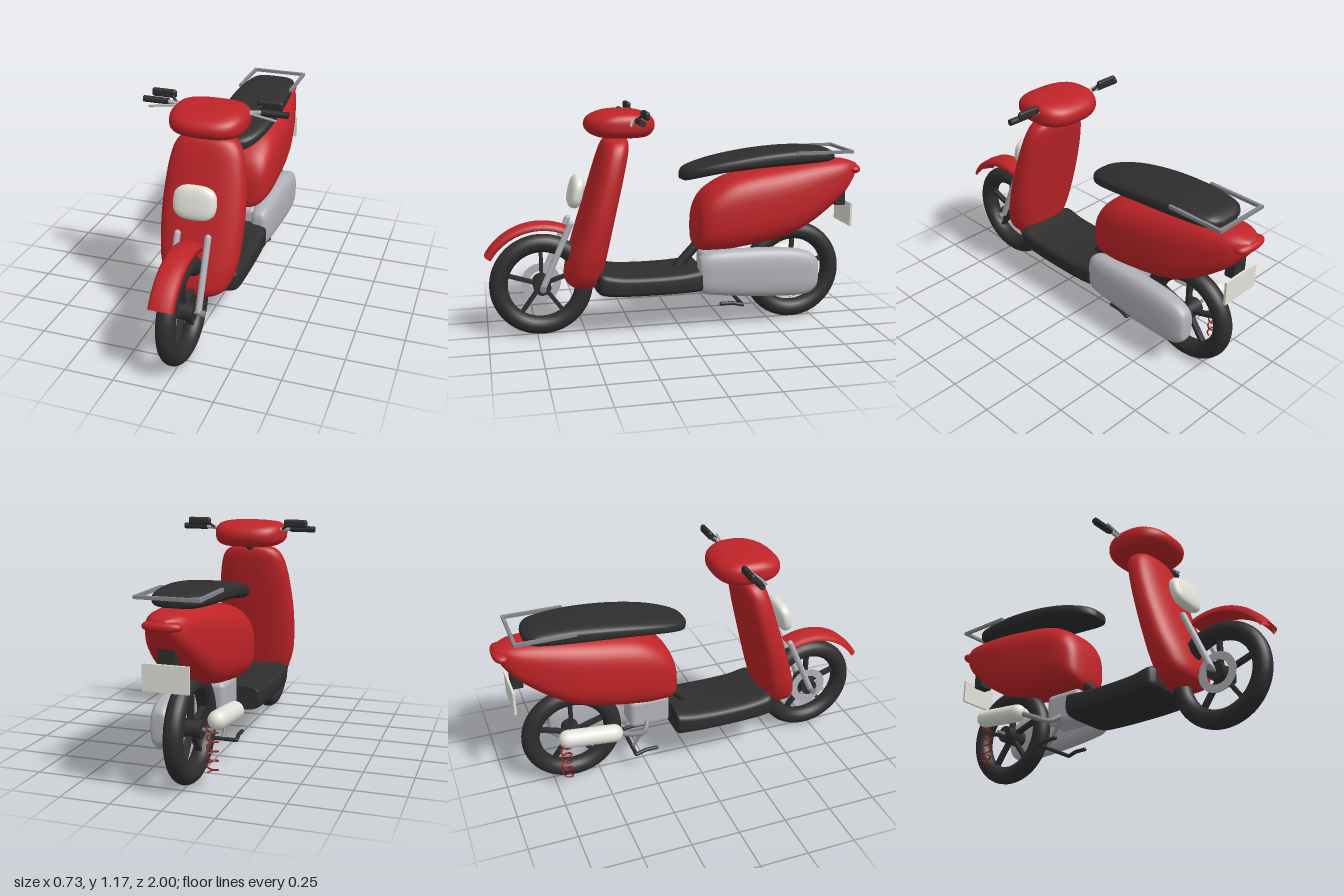
import * as THREE from 'three';
import { mergeVertices } from 'three/addons/utils/BufferGeometryUtils.js';
import { RoundedBoxGeometry } from 'three/addons/geometries/RoundedBoxGeometry.js';

const V = (x, y, z) => new THREE.Vector3(x, y, z);

function makeMaterial(name, color) {
  const m = new THREE.MeshStandardMaterial({ color });
  m.name = name;
  return m;
}

// Smooth closed body from superellipse sections [t, low, high, halfWidth].
// axis 'z': low/high are heights; axis 'y': low/high are depths. t must increase.
function loft(axis, rows, n = 2.8, sides = 40, cx = 0) {
  const line = new THREE.CatmullRomCurve3(rows.map(r => V(r[0], r[1], r[2])), false, 'catmullrom', 0.5);
  const width = new THREE.CatmullRomCurve3(rows.map(r => V(r[3], 0, 0)), false, 'catmullrom', 0.5);
  const steps = (rows.length - 1) * 5, pos = [], idx = [];
  const put = (x, v, t) => (axis === 'z' ? pos.push(x, v, t) : pos.push(x, t, v));
  const sp = v => Math.sign(v) * Math.abs(v) ** (2 / n);
  for (let i = 0; i <= steps; i++) {
    const p = line.getPoint(i / steps), w = width.getPoint(i / steps).x;
    const c = (p.y + p.z) / 2, b = (p.z - p.y) / 2 * (axis === 'z' ? 1 : -1);
    for (let j = 0; j < sides; j++) {
      const a = j / sides * Math.PI * 2;
      put(cx + w * sp(Math.cos(a)), c + b * sp(Math.sin(a)), p.x);
    }
  }
  for (let i = 0; i < steps; i++) for (let j = 0; j < sides; j++) {
    const k = (j + 1) % sides, a = i * sides, b = a + sides;
    idx.push(a + j, a + k, b + k, a + j, b + k, b + j);
  }
  // end caps
  const first = rows[0], last = rows[rows.length - 1], m = pos.length / 3;
  for (const r of [first, last]) put(cx, (r[1] + r[2]) / 2, r[0]);
  for (let j = 0; j < sides; j++) {
    const k = (j + 1) % sides, top = steps * sides;
    idx.push(m, k, j, m + 1, top + j, top + k);
  }
  const g = new THREE.BufferGeometry();
  g.setAttribute('position', new THREE.Float32BufferAttribute(pos, 3));
  g.setIndex(idx);
  g.computeVertexNormals();
  return g;
}

// Rounded pillow with half sizes rx, ry, rz; larger n is boxier
function blob(rx, ry, rz, n) {
  let g = new THREE.SphereGeometry(1, 40, 28);
  g.deleteAttribute('uv');
  g.deleteAttribute('normal');
  g = mergeVertices(g, 1e-4);
  const p = g.attributes.position;
  for (let i = 0; i < p.count; i++) {
    const x = p.getX(i), y = p.getY(i), z = p.getZ(i);
    const k = (Math.abs(x) ** n + Math.abs(y) ** n + Math.abs(z) ** n) ** (-1 / n);
    p.setXYZ(i, x * k * rx, y * k * ry, z * k * rz);
  }
  g.computeVertexNormals();
  return g;
}

// Round-ended rod between two points
function rod(a, b, r) {
  const d = b.clone().sub(a);
  const g = new THREE.CapsuleGeometry(r, d.length(), 6, 16);
  g.applyQuaternion(new THREE.Quaternion().setFromUnitVectors(V(0, 1, 0), d.clone().normalize()));
  const c = a.clone().add(b).multiplyScalar(0.5);
  return g.translate(c.x, c.y, c.z);
}

export function createModel() {
  const root = new THREE.Group();
  root.name = 'scooter';
  const red = makeMaterial('red paint', 0xc02428);
  const fenderRed = red.clone();
  fenderRed.side = THREE.DoubleSide;
  const dark = makeMaterial('black rubber', 0x2e2e2e);
  const white = makeMaterial('off white', 0xe2e2da);
  const silver = makeMaterial('silver cover', 0xb0b2b8);
  const steel = makeMaterial('grey steel', 0x85868a);
  const springRed = makeMaterial('dark red', 0x8e2020);

  const add = (name, geo, mat, x = 0, y = 0, z = 0, parent = root) => {
    const m = new THREE.Mesh(geo, mat);
    m.name = name;
    m.position.set(x, y, z);
    parent.add(m);
    return m;
  };

  // Wheels
  function wheel(name, z) {
    const g = new THREE.Group();
    g.name = name;
    g.position.set(0, 0.273, z);
    root.add(g);
    add('tyre', new THREE.TorusGeometry(0.219, 0.047, 20, 64).rotateY(Math.PI / 2), dark, 0, 0, 0, g);
    add('hub', new THREE.CylinderGeometry(0.045, 0.045, 0.12, 28).rotateZ(Math.PI / 2), dark, 0, 0, 0, g);
    add('axle', new THREE.CylinderGeometry(0.009, 0.009, 0.22, 14).rotateZ(Math.PI / 2), steel, 0, 0, 0, g);
    for (let i = 0; i < 5; i++) {
      const s = new THREE.BoxGeometry(0.03, 0.15, 0.018).translate(0, 0.11, 0);
      add('spoke', s.rotateX(i * Math.PI * 2 / 5), dark, 0, 0, 0, g);
    }
    return g;
  }
  const front = wheel('frontWheel', 0.72);
  wheel('rearWheel', -0.635);
  const disc = new THREE.Shape().absarc(0, 0, 0.102, 0, Math.PI * 2);
  disc.holes.push(new THREE.Path().absarc(0, 0, 0.062, 0, Math.PI * 2, true));
  const discGeo = new THREE.ExtrudeGeometry(disc, { depth: 0.006, bevelEnabled: false, curveSegments: 32 });
  add('brakeDisc', discGeo.rotateY(Math.PI / 2), silver, -0.04, 0, 0, front);

  // Front fender: domed section swept around the wheel
  const section = [[0.296, -0.062], [0.316, -0.06], [0.328, -0.045], [0.332, 0], [0.328, 0.045],
    [0.316, 0.06], [0.296, 0.062], [0.306, 0.05], [0.32, 0], [0.306, -0.05], [0.296, -0.062]];
  const arc = THREE.MathUtils.degToRad(84), start = THREE.MathUtils.degToRad(-115);
  add('frontFender', new THREE.LatheGeometry(section.map(p => new THREE.Vector2(...p)), 36, start, arc)
    .rotateZ(-Math.PI / 2), fenderRed, 0, 0.273, 0.72);

  // Leg shield, headlight and handlebar cover
  add('legShield', loft('y', [
    [0.25, 0.46, 0.53, 0.04], [0.265, 0.435, 0.575, 0.1], [0.31, 0.415, 0.602, 0.155],
    [0.4, 0.392, 0.588, 0.188], [0.5, 0.37, 0.558, 0.203], [0.65, 0.337, 0.51, 0.209],
    [0.8, 0.302, 0.463, 0.2], [0.9, 0.28, 0.432, 0.186], [0.97, 0.267, 0.408, 0.165],
    [1.01, 0.268, 0.388, 0.13], [1.027, 0.28, 0.36, 0.08]], 2.6), red);
  add('headlight', blob(0.107, 0.084, 0.036, 2.9), white, 0, 0.755, 0.535).rotation.x = -0.24;
  add('handlebarCover', loft('y', [
    [1.03, 0.2, 0.38, 0.1], [1.037, 0.165, 0.43, 0.15], [1.06, 0.14, 0.472, 0.18],
    [1.095, 0.13, 0.485, 0.187], [1.13, 0.145, 0.465, 0.182], [1.155, 0.19, 0.41, 0.155],
    [1.166, 0.25, 0.35, 0.09]], 2.7), red);
  add('steeringColumn', rod(V(0, 0.98, 0.31), V(0, 1.06, 0.3), 0.04), dark);

  // Forks, grips, levers and mirrors
  for (const s of [-1, 1]) {
    add('fork', rod(V(s * 0.077, 0.28, 0.715), V(s * 0.077, 0.6, 0.572), 0.016), silver);
    add('axleNut', new THREE.CylinderGeometry(0.016, 0.016, 0.02, 12).rotateZ(Math.PI / 2), steel, s * 0.1, 0.273, 0.72);
    add('handlebar', rod(V(s * 0.15, 1.12, 0.255), V(s * 0.24, 1.13, 0.25), 0.01), silver);
    add('grip', new THREE.CylinderGeometry(0.016, 0.016, 0.13, 18).rotateZ(Math.PI / 2), dark, s * 0.3, 1.13, 0.25);
    add('brakeLever', rod(V(s * 0.18, 1.125, 0.27), V(s * 0.315, 1.115, 0.298), 0.006), silver);
    add('mirrorStem', rod(V(s * 0.19, 1.125, 0.25), V(s * 0.22, 1.15, 0.23), 0.007), dark);
    add('mirror', new RoundedBoxGeometry(0.126, 0.042, 0.026, 3, 0.012), dark, s * 0.268, 1.16, 0.22);
  }

  // Floorboard and strut
  add('floorboard', loft('z', [
    [-0.1, 0.225, 0.34, 0.15], [-0.09, 0.215, 0.346, 0.17], [0.02, 0.212, 0.334, 0.178],
    [0.17, 0.212, 0.33, 0.18], [0.32, 0.215, 0.336, 0.18], [0.42, 0.225, 0.355, 0.178],
    [0.45, 0.245, 0.345, 0.14]], 4.5), dark);
  add('strut', rod(V(0, 0.33, 0.0), V(0, 0.46, -0.12), 0.026), dark);

  // Rear bodywork
  add('rearBody', loft('z', [
    [-0.985, 0.815, 0.85, 0.03], [-0.95, 0.755, 0.865, 0.072], [-0.88, 0.67, 0.877, 0.112],
    [-0.72, 0.545, 0.872, 0.148], [-0.55, 0.468, 0.853, 0.168], [-0.3, 0.425, 0.812, 0.173],
    [-0.18, 0.42, 0.757, 0.165], [-0.12, 0.42, 0.7, 0.145], [-0.09, 0.435, 0.63, 0.11],
    [-0.078, 0.47, 0.55, 0.05]], 3), red);
  add('tailLight', blob(0.092, 0.026, 0.042, 2.4), red, 0, 0.822, -0.957);
  add('seat', loft('z', [
    [-0.845, 0.885, 0.912, 0.05], [-0.825, 0.876, 0.93, 0.095], [-0.77, 0.868, 0.946, 0.125],
    [-0.6, 0.858, 0.953, 0.146], [-0.4, 0.848, 0.937, 0.154], [-0.22, 0.83, 0.908, 0.145],
    [-0.1, 0.808, 0.88, 0.117], [-0.035, 0.793, 0.859, 0.075], [-0.01, 0.8, 0.835, 0.03]], 3.2), dark);

  // Luggage rack, plate holder and plate
  for (const s of [-1, 1]) add('rackSide', new THREE.BoxGeometry(0.016, 0.016, 0.3), steel, s * 0.147, 0.931, -0.755);
  add('rackRear', new THREE.BoxGeometry(0.31, 0.016, 0.016), steel, 0, 0.931, -0.902);
  add('plateHolder', new THREE.BoxGeometry(0.08, 0.09, 0.055), dark, 0, 0.67, -0.893);
  add('plate', new THREE.BoxGeometry(0.22, 0.125, 0.012), white, 0, 0.585, -0.928);

  // Engine, side cover and exhaust
  add('sideCover', loft('z', [
    [-0.735, 0.25, 0.33, 0.025], [-0.725, 0.205, 0.37, 0.042], [-0.67, 0.17, 0.405, 0.055],
    [-0.55, 0.167, 0.428, 0.06], [-0.35, 0.178, 0.435, 0.06], [-0.17, 0.196, 0.43, 0.057],
    [-0.1, 0.21, 0.41, 0.045], [-0.08, 0.24, 0.38, 0.025]], 3, 40, 0.124), silver);
  add('engine', new RoundedBoxGeometry(0.16, 0.17, 0.22, 3, 0.03), silver, 0.02, 0.33, -0.22);
  add('muffler', rod(V(-0.153, 0.32, -0.45), V(-0.153, 0.345, -0.69), 0.047), white);
  const pipe = new THREE.CatmullRomCurve3([V(-0.03, 0.3, -0.22), V(-0.1, 0.25, -0.27), V(-0.14, 0.28, -0.35), V(-0.153, 0.32, -0.44)]);
  add('exhaustPipe', new THREE.TubeGeometry(pipe, 24, 0.014, 12), steel);

  // Coil spring
  const coil = [];
  for (let i = 0; i <= 80; i++) {
    const a = i / 16 * Math.PI * 2;
    coil.push(V(-0.13 + 0.026 * Math.cos(a), 0.085 + i * 0.0028, -0.7 + 0.026 * Math.sin(a)));
  }
  add('spring', new THREE.TubeGeometry(new THREE.CatmullRomCurve3(coil), 200, 0.004, 6), springRed);

  // Foot stand
  add('standBar', rod(V(-0.12, 0.127, -0.325), V(0.12, 0.127, -0.325), 0.01), dark);
  for (const s of [-1, 1]) {
    add('standLeg', rod(V(s * 0.122, 0.127, -0.325), V(s * 0.115, 0.138, -0.27), 0.01), dark);
    add('standPeg', rod(V(s * 0.115, 0.138, -0.27), V(s * 0.115, 0.138, -0.21), 0.01), dark);
  }
  add('standArm', rod(V(-0.05, 0.132, -0.32), V(-0.05, 0.28, -0.22), 0.009), steel);
  return root;
}
